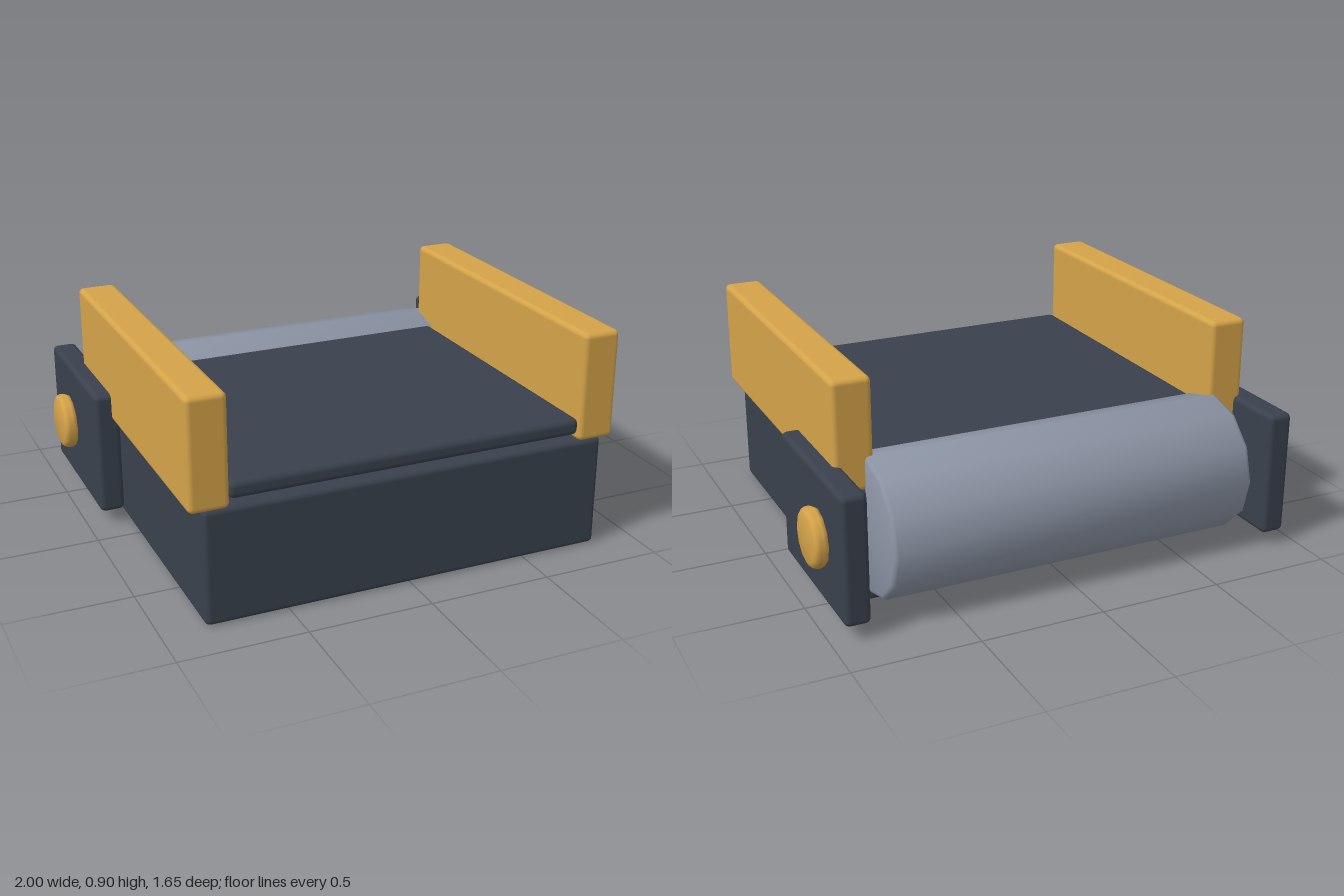
import * as THREE from 'three';
import { RoundedBoxGeometry } from 'three/addons/geometries/RoundedBoxGeometry.js';
import { toCreasedNormals } from 'three/addons/utils/BufferGeometryUtils.js';

export function createModel() {
  const model = new THREE.Group();
  model.name = 'rollerTray';

  const material = (name, color) => {
    const m = new THREE.MeshStandardMaterial({ color });
    m.name = name;
    return m;
  };
  const slate = material('slate', 0x39414d);
  const ochre = material('ochre', 0xd4a349);
  const steel = material('steel', 0x8b94a4);

  const add = (name, geometry, mat) => {
    const mesh = new THREE.Mesh(geometry, mat);
    mesh.name = name;
    model.add(mesh);
    return mesh;
  };

  // Softly bevelled block given by its limits on each axis
  const block = (name, [x0, x1], [y0, y1], [z0, z1], mat, bevel = 0.022) => {
    const mesh = add(name, new RoundedBoxGeometry(x1 - x0, y1 - y0, z1 - z0, 2, bevel), mat);
    mesh.position.set((x0 + x1) / 2, (y0 + y1) / 2, (z0 + z1) / 2);
    return mesh;
  };

  // Twelve-sided bevelled drum lying along x
  const drum = (name, x0, x1, radius, bevel, mat) => {
    const h = (x1 - x0) / 2;
    const c = bevel * 0.3;
    const profile = [
      [0, -h], [radius - bevel, -h], [radius - c, -h + c], [radius, -h + bevel],
      [radius, h - bevel], [radius - c, h - c], [radius - bevel, h], [0, h],
    ].map(([r, y]) => new THREE.Vector2(r, y));
    const geometry = toCreasedNormals(new THREE.LatheGeometry(profile, 12), 0.9);
    geometry.rotateZ(-Math.PI / 2);
    const mesh = add(name, geometry, mat);
    mesh.position.set((x0 + x1) / 2, 0.313, -0.55);
    return mesh;
  };

  // Body, raised bed and rear roller
  block('base', [-0.828, 0.828], [0, 0.463], [-0.55, 0.825], slate);
  block('bed', [-0.725, 0.725], [0.485, 0.555], [-0.55, 0.82], slate, 0.025);
  drum('roller', -0.76, 0.76, 0.28, 0.018, steel);

  // Matching rails, bearing plates and axle caps
  for (const [side, s] of [['left', 1], ['right', -1]]) {
    const span = (a, b) => (s > 0 ? [a, b] : [-b, -a]);
    block(side + 'Rail', span(0.723, 0.88), [0.457, 0.9], [-0.55, 0.825], ochre);
    block(side + 'BearingPlate', span(0.845, 0.947), [0.057, 0.57], [-0.81, -0.122], slate);
    drum(side + 'AxleCap', ...span(0.94, 1), 0.117, 0.022, ochre);
  }

  return model;
}
